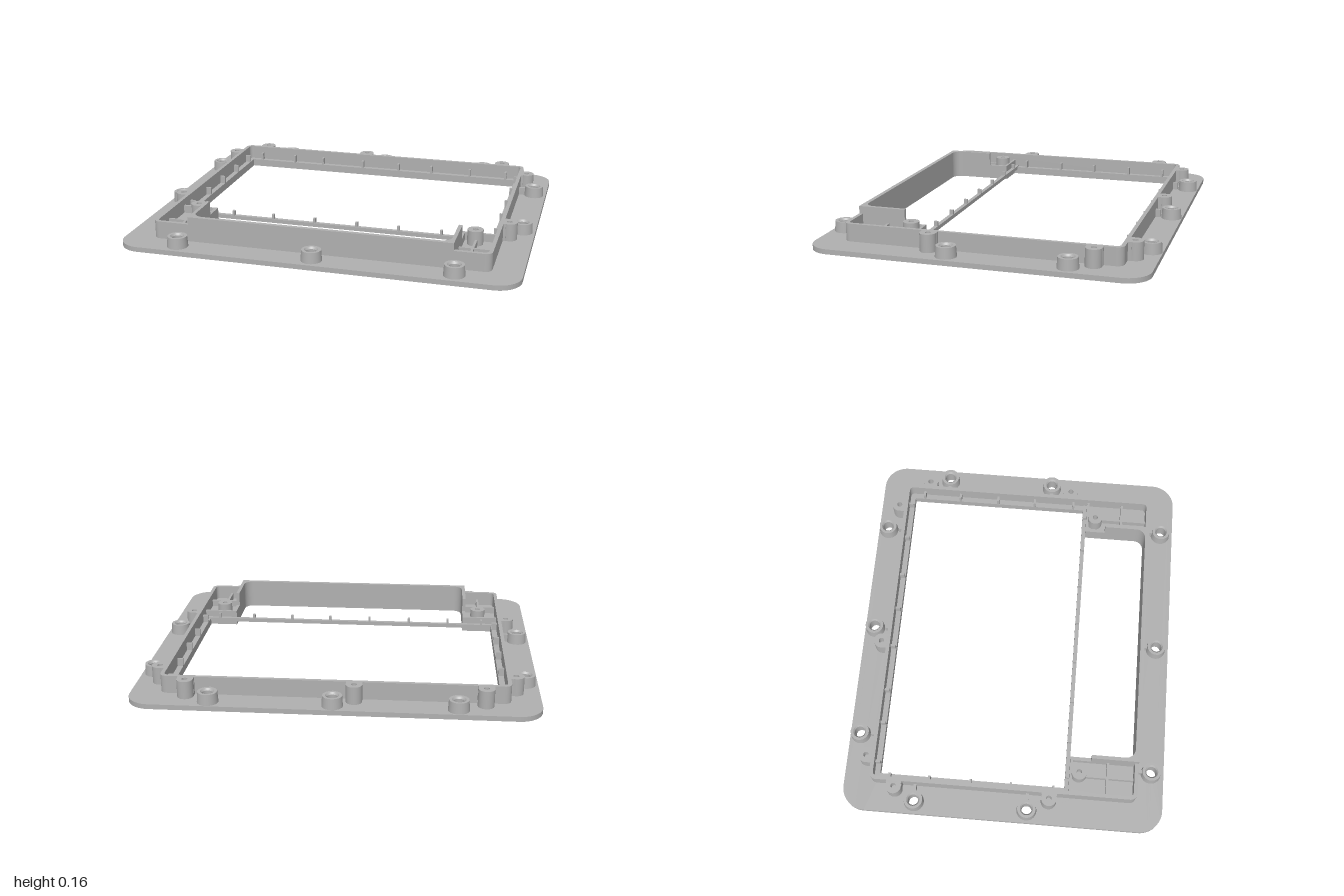
import * as THREE from 'three';

const grey = new THREE.MeshStandardMaterial({ color: 0xb0b0b0 });
grey.name = 'moulded grey';

// Rounded rectangle outline, in x and z
function roundRect(path, x0, z0, x1, z1, r) {
  path.moveTo(x0 + r, z0);
  path.lineTo(x1 - r, z0);
  path.absarc(x1 - r, z0 + r, r, -Math.PI / 2, 0);
  path.lineTo(x1, z1 - r);
  path.absarc(x1 - r, z1 - r, r, 0, Math.PI / 2);
  path.lineTo(x0 + r, z1);
  path.absarc(x0 + r, z1 - r, r, Math.PI / 2, Math.PI);
  path.lineTo(x0, z0 + r);
  path.absarc(x0 + r, z0 + r, r, Math.PI, Math.PI * 1.5);
  return path;
}

// Large opening stepping in to the narrower front opening
function openingPath() {
  const p = new THREE.Path(), r = 0.05, x0 = -0.645, x1 = 0.655, z1 = 0.668;
  p.moveTo(-0.805, -0.645);
  p.lineTo(0.805, -0.645);
  p.lineTo(0.805, 0.336);
  p.lineTo(x1, 0.336);
  p.lineTo(x1, z1 - r);
  p.absarc(x1 - r, z1 - r, r, 0, Math.PI / 2);
  p.lineTo(x0 + r, z1);
  p.absarc(x0 + r, z1 - r, r, Math.PI / 2, Math.PI);
  p.lineTo(x0, 0.336);
  p.lineTo(-0.805, 0.336);
  p.closePath();
  return p;
}

export function createModel() {
  const model = new THREE.Group();
  model.name = 'mountingFrame';

  const add = (name, geometry) => {
    const mesh = new THREE.Mesh(geometry, grey);
    mesh.name = name;
    model.add(mesh);
    return mesh;
  };
  // Horizontal outline extruded from y0 to y1
  const slab = (name, shape, y0, y1) => {
    const g = new THREE.ExtrudeGeometry(shape, { depth: y1 - y0, bevelEnabled: false, curveSegments: 12 });
    add(name, g.rotateX(Math.PI / 2).translate(0, y1, 0));
  };
  const box = (name, x0, x1, y0, y1, z0, z1) =>
    add(name, new THREE.BoxGeometry(x1 - x0, y1 - y0, z1 - z0)
      .translate((x0 + x1) / 2, (y0 + y1) / 2, (z0 + z1) / 2));
  // Turned part; repeated points keep the edges crisp
  const turned = (name, x, z, pts) => {
    const profile = [];
    for (let i = 0; i < pts.length - 1; i++) {
      profile.push(new THREE.Vector2(...pts[i]), new THREE.Vector2(...pts[i + 1]));
    }
    add(name, new THREE.LatheGeometry(profile, 28)).position.set(x, 0, z);
  };

  const screws = [
    [-0.6, -0.775], [0, -0.775], [0.6, -0.775],
    [-0.935, -0.455], [0.935, -0.455], [-0.935, 0.13], [0.935, 0.13],
    [-0.69, 0.762], [0, 0.762], [0.69, 0.762],
  ];
  const posts = [
    [-0.73, -0.72], [-0.1, -0.72], [0.72, -0.72],
    [-0.88, -0.56], [0.88, -0.56], [-0.88, 0.24], [0.88, 0.24],
  ];

  // Flange with opening and screw holes
  const flange = roundRect(new THREE.Shape(), -1, -0.83, 1, 0.83, 0.12);
  flange.holes.push(openingPath());
  for (const [x, z] of screws) {
    flange.holes.push(new THREE.Path().absarc(x, z, 0.027, 0, Math.PI * 2));
  }
  slab('flange', flange, 0.01, 0.035);

  // Ledge around the opening
  const ledge = roundRect(new THREE.Shape(), -0.84, -0.68, 0.84, 0.68, 0.03);
  ledge.holes.push(openingPath());
  slab('innerLedge', ledge, 0.035, 0.05);

  // Upright perimeter wall
  const wall = roundRect(new THREE.Shape(), -0.853, -0.692, 0.853, 0.69, 0.035);
  wall.holes.push(roundRect(new THREE.Path(), -0.834, -0.673, 0.834, 0.671, 0.02));
  slab('perimeterWall', wall, 0.035, 0.125);

  // Raised U-shaped wall around the front opening
  const u = new THREE.Shape();
  u.moveTo(-0.663, 0.445);
  u.lineTo(-0.663, 0.69);
  u.lineTo(0.673, 0.69);
  u.lineTo(0.673, 0.445);
  u.lineTo(0.655, 0.445);
  u.lineTo(0.655, 0.618);
  u.absarc(0.605, 0.618, 0.05, 0, Math.PI / 2);
  u.lineTo(-0.595, 0.668);
  u.absarc(-0.595, 0.618, 0.05, Math.PI / 2, Math.PI);
  u.lineTo(-0.645, 0.445);
  u.closePath();
  slab('raisedFrontWall', u, 0.05, 0.163);

  // Cross bar between the openings, with upright ribs
  box('crossBar', -0.834, 0.834, 0.035, 0.055, 0.317, 0.338);
  for (const x of [-0.75, -0.56, -0.34, -0.115, 0.11, 0.33, 0.55, 0.75]) {
    box('barRib', x - 0.006, x + 0.006, 0.055, 0.08, 0.318, 0.337);
  }

  // Ribs between the ledge and the perimeter wall
  for (const x of [-0.75, -0.54, -0.36, -0.11, 0.11, 0.31, 0.54, 0.75]) {
    box('rearRib', x - 0.006, x + 0.006, 0.05, 0.09, -0.675, -0.647);
  }
  for (const s of [-1, 1]) {
    for (const z of [-0.59, -0.385, -0.17, 0.04, 0.26]) {
      box('sideRib', s * 0.82 - 0.0145, s * 0.82 + 0.0145, 0.05, 0.09, z - 0.006, z + 0.006);
    }
  }

  // Ribbed front corner pockets, each with a post
  for (const s of [-1, 1]) {
    const inner = s < 0 ? 0.663 : 0.673;
    const span = (name, a, b, y1, z0, z1) =>
      box(name, Math.min(s * a, s * b), Math.max(s * a, s * b), 0.05, y1, z0, z1);
    span('pocketSideWall', inner - 0.018, inner, 0.09, 0.338, 0.445);
    span('pocketRearWall', inner, 0.834, 0.09, 0.338, 0.352);
    span('pocketCrossRib', inner, 0.834, 0.085, 0.529, 0.541);
    span('pocketLongRib', 0.734, 0.746, 0.085, 0.42, 0.671);
    posts.push([s * 0.73, 0.387]);
  }

  // Screw bosses, tapered and bored through, tied to the wall by webs
  for (const [x, z] of screws) {
    turned('screwBoss', x, z, [[0.052, 0.035], [0.048, 0.09], [0.034, 0.09], [0.027, 0.08], [0.027, 0.01]]);
    if (Math.abs(x) > 0.9) {
      const a = Math.sign(x) * 0.868;
      box('bossWeb', a - 0.02, a + 0.02, 0.035, 0.075, z - 0.008, z + 0.008);
    } else {
      const a = Math.sign(z) * 0.703;
      box('bossWeb', x - 0.008, x + 0.008, 0.035, 0.075, a - 0.015, a + 0.015);
    }
  }

  // Tall posts with blind pilot holes, blended into the wall
  for (const [x, z] of posts) {
    turned('fasteningPost', x, z, [[0.04, 0.035], [0.04, 0.125], [0.014, 0.125], [0.014, 0.07], [0, 0.07]]);
    if (Math.abs(x) > 0.85) {
      const a = Math.sign(x) * 0.851;
      for (const d of [-0.034, 0.034]) box('postWeb', a - 0.014, a + 0.014, 0.035, 0.125, z + d - 0.006, z + d + 0.006);
    } else if (z < 0) {
      for (const d of [-0.034, 0.034]) box('postWeb', x + d - 0.006, x + d + 0.006, 0.035, 0.125, -0.71, -0.68);
    }
  }

  // Locating pegs beneath the flange
  for (const s of [-1, 1]) {
    add('locatingPeg', new THREE.CylinderGeometry(0.014, 0.014, 0.012, 20)).position.set(s * 0.935, 0.006, -0.155);
  }
  return model;
}
